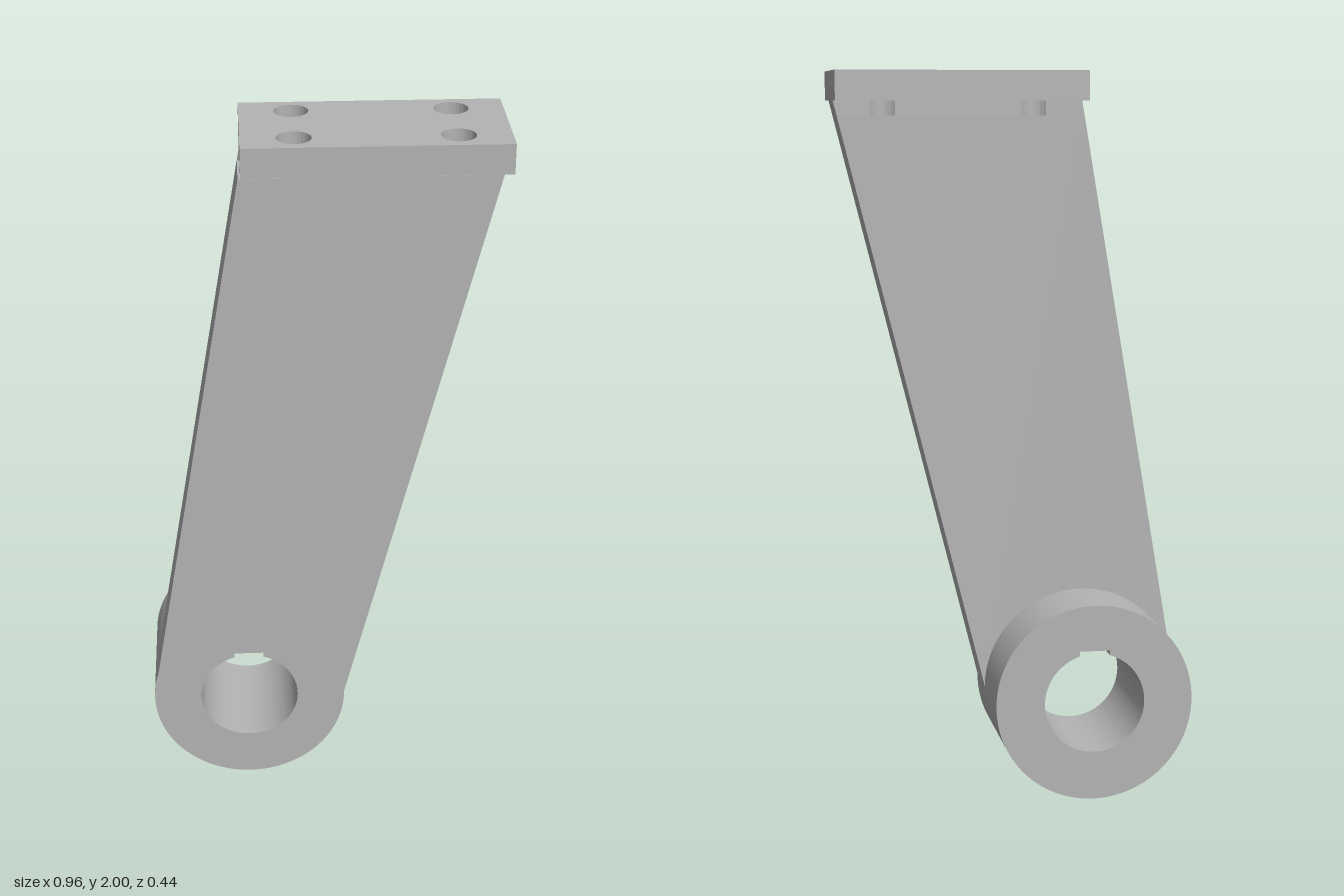
import * as THREE from 'three';
import { toCreasedNormals } from 'three/addons/utils/BufferGeometryUtils.js';

const HUB = { x: -0.207, y: 0.277, r: 0.275, bore: 0.14 };
const ARM = { back: -0.014, front: 0.122, notchY: 1.88, topY: 1.92 };
const HOLES = { xs: [-0.07, 0.344], zs: [-0.043, 0.15], r: 0.045 };

// straight arm edges, as x for a given height
const leftX = (y) => THREE.MathUtils.mapLinear(y, 0.36, 1.92, -0.469, -0.205);
const rightX = (y) => THREE.MathUtils.mapLinear(y, 0.28, 1.92, 0.068, 0.478);

function extrude(shape, depth) {
  return new THREE.ExtrudeGeometry(shape, { depth, bevelEnabled: false, curveSegments: 64 });
}

// round bore with a shallow keyway at the top
function boreHole() {
  const half = 0.042;
  const a = Math.acos(half / HUB.bore);
  const hole = new THREE.Path();
  hole.moveTo(HUB.x + half, HUB.y + 0.147);
  hole.lineTo(HUB.x - half, HUB.y + 0.147);
  hole.absarc(HUB.x, HUB.y, HUB.bore, Math.PI - a, Math.PI * 2 + a, false);
  hole.closePath();
  return hole;
}

export function createModel() {
  const model = new THREE.Group();
  model.name = 'bracket';
  const steel = new THREE.MeshStandardMaterial({ color: 0xb4b4b4 });
  steel.name = 'grey steel';

  const add = (name, geometry) => {
    const mesh = new THREE.Mesh(toCreasedNormals(geometry, 0.5), steel);
    mesh.name = name;
    model.add(mesh);
  };

  // arm: slanted web with a rounded lower end
  const web = new THREE.Shape();
  web.moveTo(rightX(ARM.notchY), ARM.notchY);
  web.lineTo(leftX(ARM.notchY), ARM.notchY);
  web.absarc(HUB.x, HUB.y, HUB.r, Math.PI - 0.308, Math.PI * 2 + 0.01, false);
  web.closePath();
  web.holes.push(boreHole());
  add('arm', extrude(web, ARM.front - ARM.back).translate(0, 0, ARM.back));

  // top of the arm, notched where the bolt holes run into it
  const notched = new THREE.Shape();
  const [x0, x1] = HOLES.xs;
  const x = [leftX(ARM.topY), rightX(ARM.topY)];
  const frontAngle = Math.asin((HOLES.zs[1] - ARM.front) / HOLES.r);
  const backAngle = Math.asin((ARM.back - HOLES.zs[0]) / HOLES.r);
  notched.moveTo(x[0], -ARM.front);
  for (const cx of [x0, x1]) {
    notched.absarc(cx, -HOLES.zs[1], HOLES.r, Math.PI - frontAngle, frontAngle, true);
  }
  notched.lineTo(x[1], -ARM.front);
  notched.lineTo(x[1], -ARM.back);
  for (const cx of [x1, x0]) {
    notched.absarc(cx, -HOLES.zs[0], HOLES.r, -backAngle, -Math.PI + backAngle, true);
  }
  notched.lineTo(x[0], -ARM.back);
  notched.closePath();
  const armTop = extrude(notched, ARM.topY - ARM.notchY).rotateX(-Math.PI / 2).translate(0, ARM.notchY, 0);
  // continue the slant of the two edges
  const pos = armTop.attributes.position;
  for (let i = 0; i < pos.count; i++) {
    if (Math.abs(pos.getX(i) - x[0]) < 1e-4) pos.setX(i, leftX(pos.getY(i)));
    else if (Math.abs(pos.getX(i) - x[1]) < 1e-4) pos.setX(i, rightX(pos.getY(i)));
  }
  add('armTop', armTop);

  // hub: bored boss behind the arm
  const ring = new THREE.Shape();
  ring.absarc(HUB.x, HUB.y, HUB.r, 0, Math.PI * 2, false);
  ring.holes.push(boreHole());
  add('hub', extrude(ring, ARM.back + 0.221).translate(0, 0, -0.221));

  // mounting plate with four bolt holes
  const plate = new THREE.Shape();
  plate.moveTo(-0.206, -0.22);
  plate.lineTo(0.48, -0.22);
  plate.lineTo(0.48, 0.11);
  plate.lineTo(-0.206, 0.11);
  plate.closePath();
  for (const cx of HOLES.xs) {
    for (const cz of HOLES.zs) {
      plate.holes.push(new THREE.Path().absarc(cx, -cz, HOLES.r, 0, Math.PI * 2, true));
    }
  }
  add('mountingPlate', extrude(plate, 2 - ARM.topY).rotateX(-Math.PI / 2).translate(0, ARM.topY, 0));

  return model;
}
